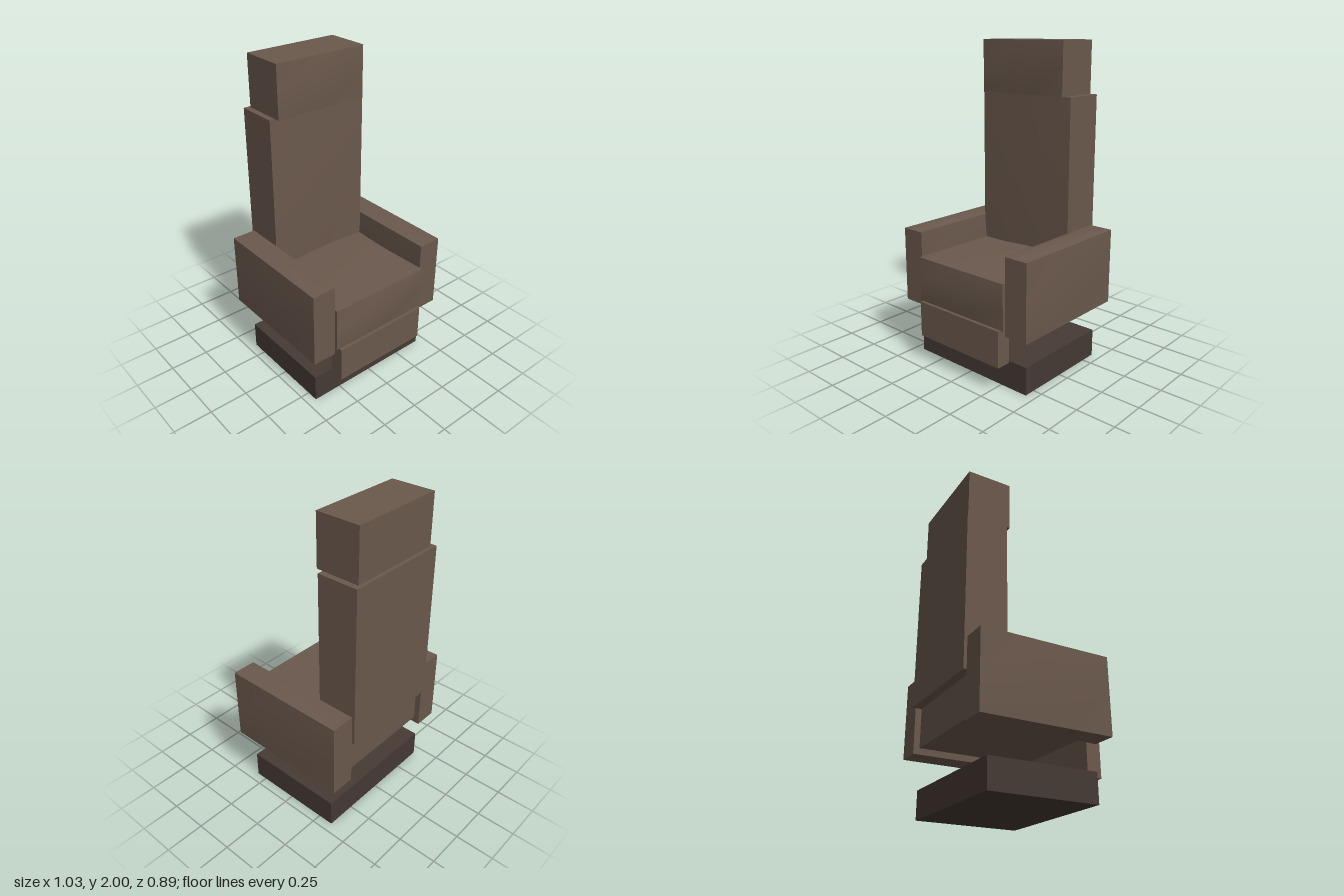
import * as THREE from 'three';

const upholstery = new THREE.MeshStandardMaterial({ name: 'brownUpholstery', color: 0x6b594d });
const darkBase = new THREE.MeshStandardMaterial({ name: 'darkBrown', color: 0x463a34 });

// Block between two corners; each listed face has its centre pushed outwards
function cushion(name, min, max, bulges = {}, material = upholstery) {
  const size = max.map((v, i) => v - min[i]);
  const geometry = new THREE.BoxGeometry(...size, 2, 2, 2);
  const p = geometry.attributes.position;
  const faces = ['+x', '-x', '+y', '-y', '+z', '-z'];
  // every face of the block is a 3 x 3 grid, so its middle is vertex 4
  faces.forEach((face, f) => {
    const axis = f >> 1, i = f * 9 + 4;
    const push = (bulges[face] ?? 0) * (f % 2 ? -1 : 1);
    p.setComponent(i, axis, p.getComponent(i, axis) + push);
  });
  geometry.computeVertexNormals();
  const mesh = new THREE.Mesh(geometry, material);
  mesh.name = name;
  mesh.position.set(...max.map((v, i) => (v + min[i]) / 2));
  return mesh;
}

export function createModel() {
  const chair = new THREE.Group();
  chair.name = 'armchair';

  // Plinth and leg rest
  chair.add(cushion('base', [-0.44, 0, -0.35], [0.44, 0.177, 0.323], {}, darkBase));
  chair.add(cushion('legRest', [-0.327, 0.178, 0.344], [0.327, 0.408, 0.436]));

  // Padded seat, backrest and headrest
  chair.add(cushion('seat', [-0.345, 0.407, -0.39], [0.345, 0.692, 0.416], { '+y': 0.02, '+z': 0.027 }));
  chair.add(cushion('backrest', [-0.345, 0.655, -0.447], [0.345, 1.675, -0.179], { '+z': 0.019 }));
  chair.add(cushion('headrest', [-0.311, 1.677, -0.427], [0.311, 2, -0.141], { '+z': 0.019 }));

  // Armrests, padded on the top and both sides
  const pad = { '+x': 0.018, '-x': 0.018, '+y': 0.022 };
  chair.add(cushion('leftArmrest', [0.345, 0.368, -0.428], [0.499, 0.848, 0.397], pad));
  chair.add(cushion('rightArmrest', [-0.499, 0.368, -0.428], [-0.345, 0.848, 0.397], pad));

  return chair;
}
